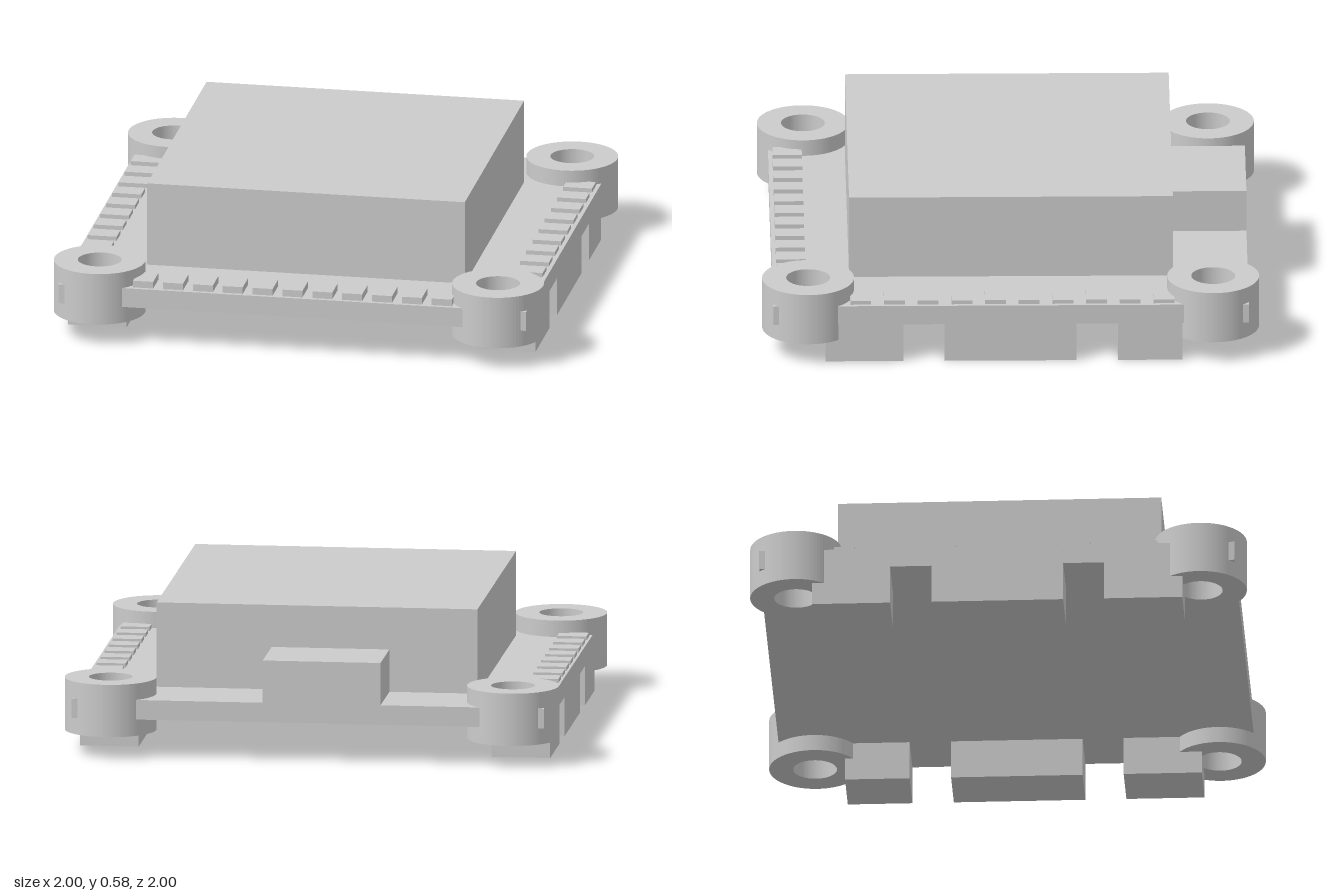
import * as THREE from 'three';

export function createModel() {
  const root = new THREE.Group();
  const mat = new THREE.MeshStandardMaterial({ color: 0xcccccc });
  const C = 0.815, HOLE = 0.088, OUTER = 0.185;
  const corners = [[-C, -C], [C, -C], [C, C], [-C, C]];

  function add(geometry, name, parent = root) {
    const mesh = new THREE.Mesh(geometry, mat);
    mesh.name = name;
    parent.add(mesh);
    return mesh;
  }

  function box(name, x0, x1, y0, y1, z0, z1, parent) {
    const m = add(new THREE.BoxGeometry(x1 - x0, y1 - y0, z1 - z0), name, parent);
    m.position.set((x0 + x1) / 2, (y0 + y1) / 2, (z0 + z1) / 2);
    return m;
  }

  function group(name) {
    const g = new THREE.Group();
    g.name = name;
    root.add(g);
    return g;
  }

  // Flat shape in the x-z plane, raised from y0 to y1
  function slab(name, shape, y0, y1, parent) {
    const geo = new THREE.ExtrudeGeometry(shape, { depth: y1 - y0, bevelEnabled: false, curveSegments: 48 });
    geo.rotateX(-Math.PI / 2);
    const m = add(geo, name, parent);
    m.position.y = y0;
    return m;
  }

  // Circuit board with four mounting holes
  const E = 0.957;
  const board = new THREE.Shape([[-E, -E], [E, -E], [E, E], [-E, E]].map(p => new THREE.Vector2(...p)));
  for (const [x, z] of corners) {
    board.holes.push(new THREE.Path().absarc(x, z, HOLE, 0, Math.PI * 2, true));
  }
  slab('board', board, 0.16, 0.24);

  // Rubber grommets in the corners
  const grommets = group('grommets');
  for (const [x, z] of corners) {
    const ring = new THREE.Shape().absarc(0, 0, OUTER, 0, Math.PI * 2, false);
    ring.holes.push(new THREE.Path().absarc(0, 0, HOLE, 0, Math.PI * 2, true));
    const m = slab('grommet', ring, 0.093, 0.307, grommets);
    m.position.x = x;
    m.position.z = z;
  }

  // Main housing and rear connector
  box('housing', -0.652, 0.648, 0.24, 0.585, -0.655, 0.648);
  box('rearConnector', -0.295, 0.182, 0.24, 0.413, -0.957, -0.655);

  // Side sockets under the board; the left rear one is shorter
  const sockets = group('sockets');
  for (const s of [-1, 1]) {
    const x0 = s < 0 ? -0.957 : 0.717;
    for (const [z0, z1] of [[0.432, 0.747], [-0.263, 0.267], [s > 0 ? -0.69 : -0.745, -0.43]]) {
      box('socket', x0, x0 + 0.238, 0, 0.16, z0, z1, sockets);
    }
  }

  // Solder pads along both sides
  const pads = group('pads');
  for (let i = 0; i < 10; i++) {
    const z = -0.615 + i * 0.1355;
    box('sidePad', -0.947, -0.828, 0.24, 0.257, z - 0.042, z + 0.042, pads);
    box('sidePad', 0.823, 0.941, 0.24, 0.257, z - 0.042, z + 0.042, pads);
  }
  // Solder pads along the front
  for (let i = 0; i < 11; i++) {
    const x = -0.614 + i * 0.1222;
    box('frontPad', x - 0.041, x + 0.041, 0.24, 0.268, 0.822, 0.94, pads);
  }

  return root;
}
